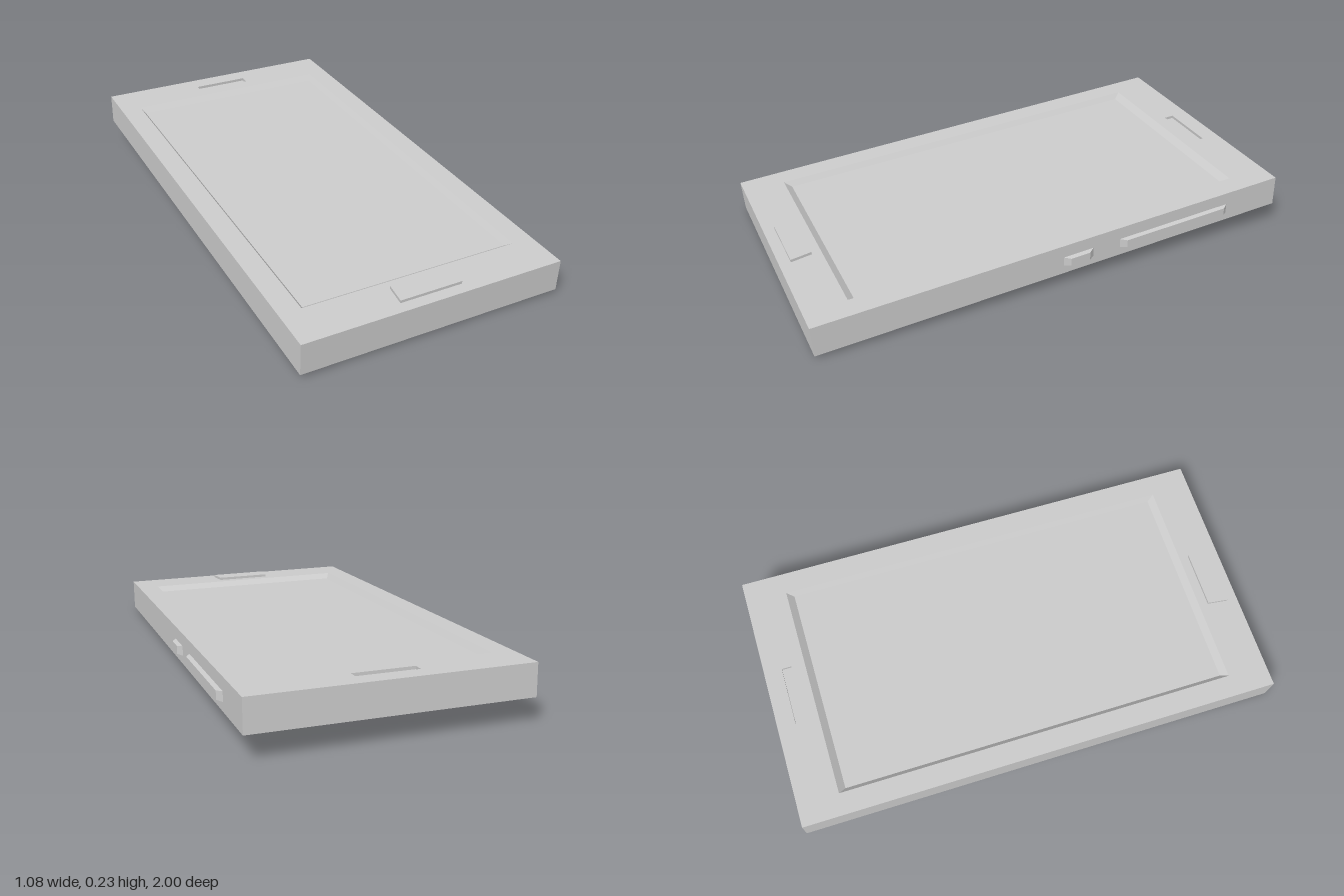
import * as THREE from 'three';

const TILT = 0.045, THICK = 0.128, HALF_L = 0.998;
const X0 = -0.543, X1 = 0.523, CX = (X0 + X1) / 2;

// Rectangle of corners at height y, counter-clockwise seen from above
const rect = (x0, x1, z0, z1, y) => [[x0, y, z1], [x1, y, z1], [x1, y, z0], [x0, y, z0]];

// Skin a stack of four-cornered rings with flat faces, with optional caps
function loft(rings, capStart, capEnd) {
  const pos = [];
  const quad = (a, b, c, d) => pos.push(...a, ...b, ...c, ...a, ...c, ...d);
  for (let i = 0; i < rings.length - 1; i++) {
    const r = rings[i], s = rings[i + 1];
    for (let j = 0; j < 4; j++) {
      const k = (j + 1) % 4;
      quad(r[j], r[k], s[k], s[j]);
    }
  }
  const first = rings[0], last = rings[rings.length - 1];
  if (capStart) quad(first[0], first[3], first[2], first[1]);
  if (capEnd) quad(...last);
  const g = new THREE.BufferGeometry();
  g.setAttribute('position', new THREE.Float32BufferAttribute(pos, 3));
  g.computeVertexNormals();
  return g;
}

export function createModel() {
  const model = new THREE.Group();
  model.name = 'phone';
  const body = new THREE.Group();
  body.name = 'tiltedBody';
  body.rotation.x = TILT;
  body.position.set(0, 0.058, -0.003);
  model.add(body);

  const material = new THREE.MeshStandardMaterial({ color: 0xcccccc, flatShading: true });
  const add = (name, geometry) => {
    const mesh = new THREE.Mesh(geometry, material);
    mesh.name = name;
    body.add(mesh);
    return mesh;
  };

  // Case: shallow faceted back and upright sides
  add('case', loft([
    rect(CX - 0.36, CX + 0.36, -0.625, 0.625, -0.03),
    rect(X0, X1, -HALF_L, HALF_L, 0),
    rect(X0, X1, -HALF_L, HALF_L, THICK),
  ], true, false));

  // Front face with openings for the screen and the earpiece
  const screen = [-0.455, 0.435, -0.83, 0.83];
  const slot = [-0.13, 0.11, -0.925, -0.885];
  const outline = (x0, x1, z0, z1) =>
    rect(x0, x1, z0, z1, 0).map(([x, , z]) => new THREE.Vector2(x, -z));
  const face = new THREE.Shape(outline(X0, X1, -HALF_L, HALF_L));
  face.holes.push(new THREE.Path(outline(...screen).reverse()));
  face.holes.push(new THREE.Path(outline(...slot).reverse()));
  add('frontFace', new THREE.ShapeGeometry(face).rotateX(-Math.PI / 2).translate(0, THICK, 0));

  // Sunken screen with sloping walls, and the earpiece slot
  add('screen', loft([
    rect(...screen, THICK),
    rect(-0.438, 0.418, -0.802, 0.802, THICK - 0.022),
  ], false, true));
  add('earpiece', loft([rect(...slot, THICK), rect(...slot, THICK - 0.012)], false, true));

  // Raised button below the screen, wider at its lower edge
  const keyRing = y => [[-0.138, y, 0.953], [0.117, y, 0.953], [0.106, y, 0.868], [-0.128, y, 0.868]];
  add('homeButton', loft([keyRing(THICK - 0.005), keyRing(THICK + 0.011)], true, true));

  // Side buttons with tapered ends, turned to stand out along +x
  for (const [name, z0, z1] of [['volumeButton', -0.755, -0.25], ['powerButton', -0.13, 0]]) {
    const g = loft([
      rect(-0.075, -0.036, z0, z1, X1 - 0.003),
      rect(-0.075, -0.036, z0, z1, X1),
      rect(-0.072, -0.039, z0 + 0.024, z1 - 0.024, X1 + 0.018),
    ], true, true);
    add(name, g.rotateZ(-Math.PI / 2));
  }
  return model;
}
